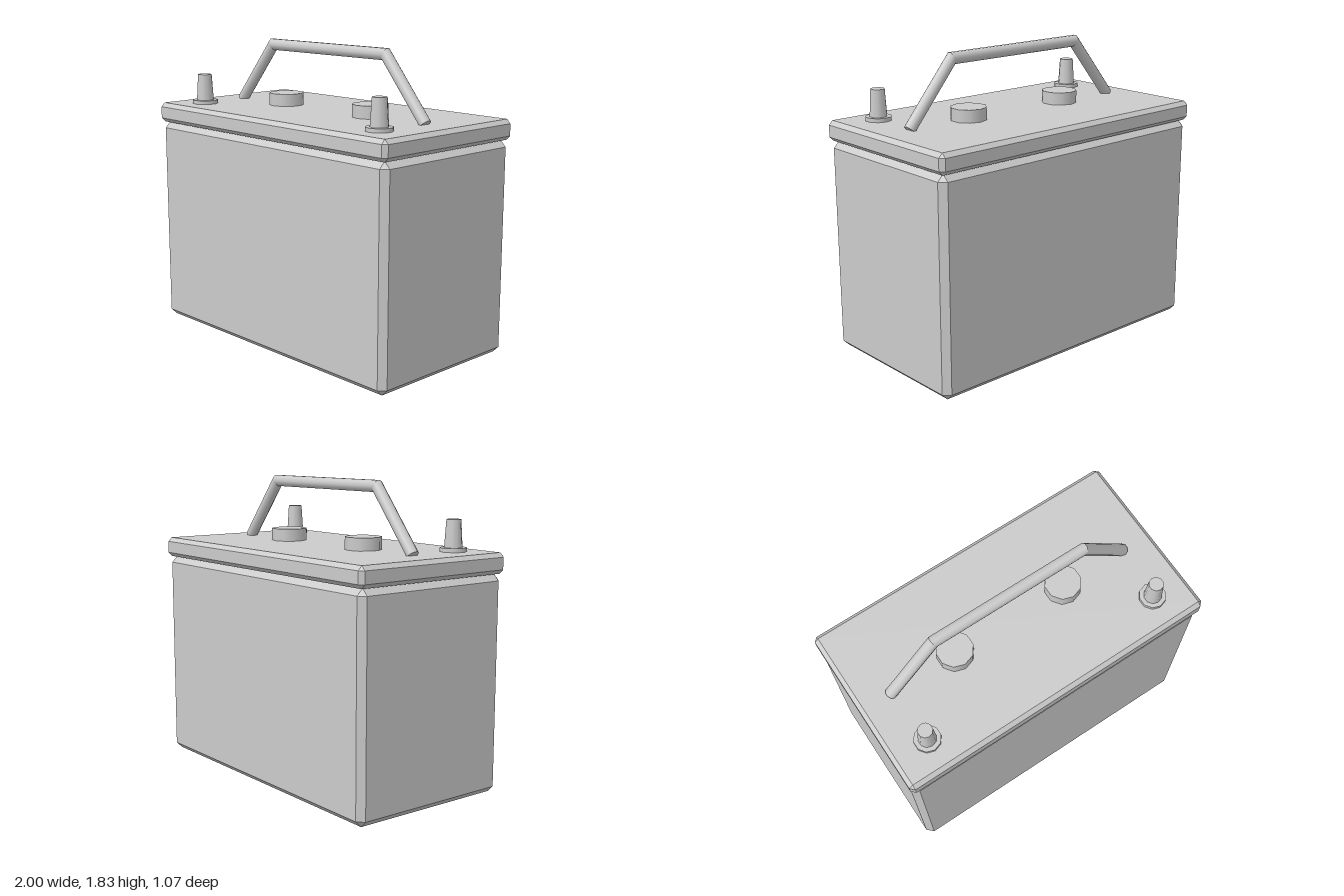
import * as THREE from 'three';
import { ConvexGeometry } from 'three/addons/geometries/ConvexGeometry.js';

const smooth = new THREE.MeshStandardMaterial({ color: 0xcccccc });
const flat = new THREE.MeshStandardMaterial({ color: 0xcccccc, flatShading: true });

const SIDES = 10;
const LID_TOP = 1.42;

function part(name, geometry, material = smooth) {
  const mesh = new THREE.Mesh(geometry, material);
  mesh.name = name;
  return mesh;
}

// Box with chamfered edges and small triangular corners, standing on y0
function chamferedBox(w, d, y0, y1, c) {
  const half = new THREE.Vector3(w / 2, (y1 - y0) / 2, d / 2);
  const points = [];
  for (const sx of [-1, 1]) for (const sy of [-1, 1]) for (const sz of [-1, 1]) {
    for (const axis of ['x', 'y', 'z']) {
      const p = half.clone().subScalar(c);
      p[axis] += c;
      points.push(p.multiply(new THREE.Vector3(sx, sy, sz)));
    }
  }
  return new ConvexGeometry(points).translate(0, (y0 + y1) / 2, 0);
}

// Upright cylinder standing on y0
function upright(rTop, rBottom, y0, y1) {
  return new THREE.CylinderGeometry(rTop, rBottom, y1 - y0, SIDES).translate(0, (y0 + y1) / 2, 0);
}

// Rod along x, with its ends sheared for mitred joints
function mitredRod(radius, length, shearStart, shearEnd) {
  const g = new THREE.CylinderGeometry(radius, radius, length, SIDES).rotateZ(-Math.PI / 2);
  const pos = g.attributes.position;
  for (let i = 0; i < pos.count; i++) {
    const x = pos.getX(i);
    pos.setX(i, x + pos.getY(i) * (x < 0 ? shearStart : shearEnd));
  }
  return g;
}

function createHandle() {
  const handle = new THREE.Group();
  handle.name = 'handle';
  const radius = 0.036;
  const bend = new THREE.Vector2(0.49, 1.792);
  const foot = new THREE.Vector2(0.8, 1.423);
  const angle = Math.atan2(bend.y - foot.y, foot.x - bend.x);
  const length = bend.distanceTo(foot);
  const mitre = Math.tan(angle / 2);

  const bar = mitredRod(radius, bend.x * 2, -mitre, mitre).translate(0, bend.y, 0);
  handle.add(part('handleBar', bar));

  for (const side of ['left', 'right']) {
    const leg = mitredRod(radius, length, -mitre, 0)
      .translate(length / 2, 0, 0)
      .rotateZ(-angle)
      .translate(bend.x, bend.y, 0);
    if (side === 'right') leg.rotateY(Math.PI);
    handle.add(part(side + 'HandleLeg', leg));
  }
  return handle;
}

export function createModel() {
  const model = new THREE.Group();
  model.name = 'battery';

  // Case and overhanging lid
  model.add(part('case', chamferedBox(1.98, 1.05, 0, 1.298, 0.038), flat));
  model.add(part('lid', chamferedBox(2, 1.074, 1.298, LID_TOP, 0.025), flat));

  for (const [side, s] of [['left', 1], ['right', -1]]) {
    // Tapered terminal on a round flange, near the front edge
    const terminal = new THREE.Group();
    terminal.name = side + 'Terminal';
    terminal.position.set(s * 0.77, 0, 0.339);
    terminal.add(part('terminalFlange', upright(0.079, 0.079, LID_TOP - 0.01, 1.443)));
    terminal.add(part('terminalPost', upright(0.043, 0.054, 1.43, 1.605)));
    model.add(terminal);

    // Filler cap under the handle
    const cap = part(side + 'FillerCap', upright(0.109, 0.109, LID_TOP - 0.01, 1.496));
    cap.position.x = s * 0.37;
    model.add(cap);
  }

  model.add(createHandle());
  return model;
}
